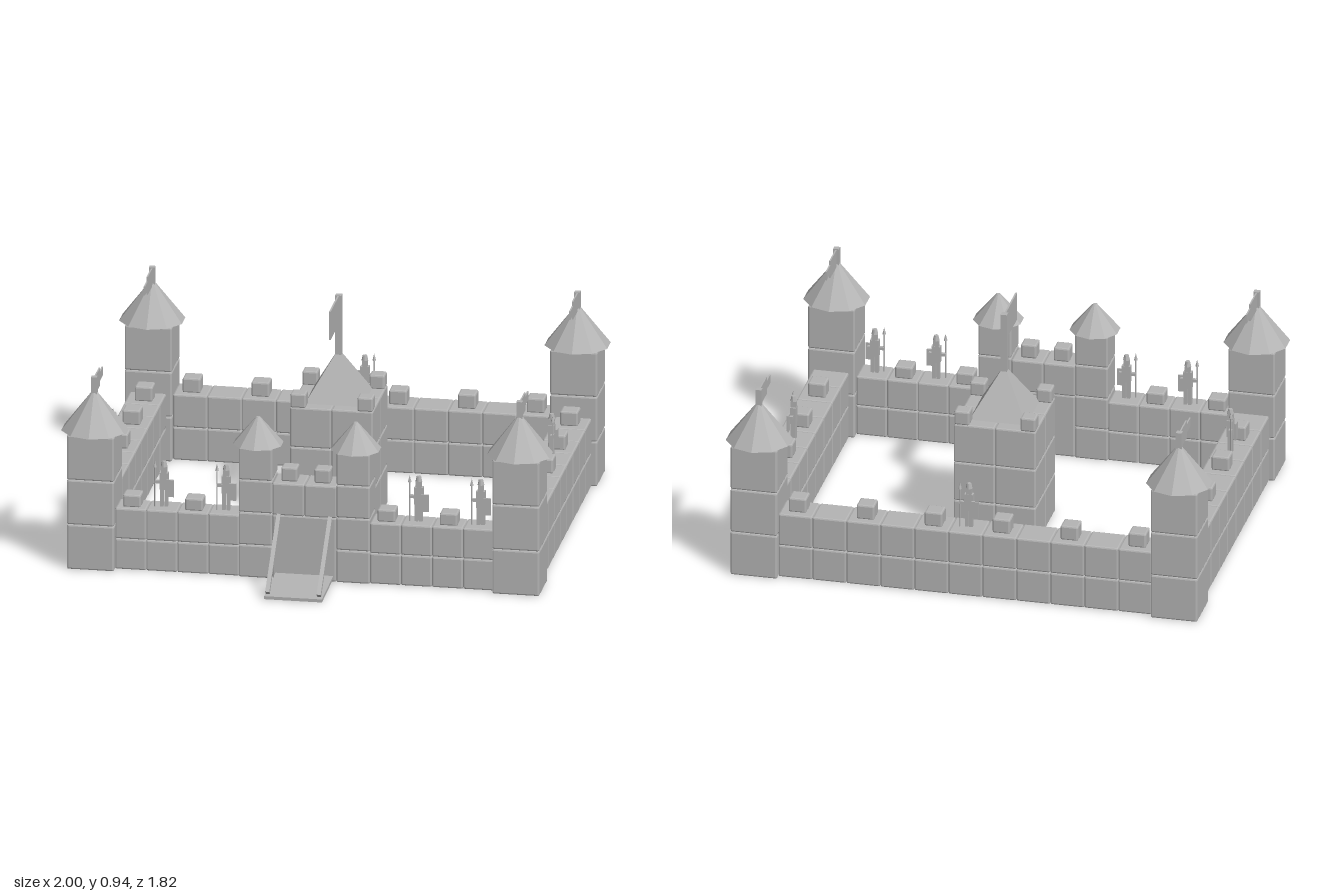
import * as THREE from 'three';
import { RoundedBoxGeometry } from 'three/addons/geometries/RoundedBoxGeometry.js';

const stone = new THREE.MeshStandardMaterial({ color: 0xb4b4b4 });
stone.name = 'grey stone';
stone.flatShading = true;
stone.side = THREE.DoubleSide;

function add(parent, name, geometry, x, y, z) {
  const mesh = new THREE.Mesh(geometry, stone);
  mesh.name = name;
  mesh.position.set(x, y, z);
  parent.add(mesh);
  return mesh;
}

function group(parent, name, x = 0, y = 0, z = 0) {
  const g = new THREE.Group();
  g.name = name;
  g.position.set(x, y, z);
  parent.add(g);
  return g;
}

const box = (w, h, d) => new THREE.BoxGeometry(w, h, d);

// Bevelled stone standing on height y
function block(parent, name, w, h, d, x, y, z) {
  return add(parent, name, new RoundedBoxGeometry(w, h, d, 1, 0.007), x, y + h / 2, z);
}

// Merlon narrowing very slightly to the top
const merlon = (parent, size, h, x, y, z) => block(parent, 'merlon', size, h, size, x, y, z);

// Guard facing +z, spear in the right hand and shield on the left arm
function guard(parent, x, y, z, turn) {
  const g = group(parent, 'guard', x, y, z);
  g.rotation.y = turn;
  for (const s of [-1, 1]) add(g, 'leg', box(0.014, 0.075, 0.018), s * 0.009, 0.0375, 0);
  add(g, 'torso', box(0.036, 0.072, 0.024), 0, 0.108, 0);
  add(g, 'head', box(0.022, 0.026, 0.022), 0, 0.157, 0);
  add(g, 'helmet', new THREE.CylinderGeometry(0.009, 0.014, 0.022, 8), 0, 0.18, 0);
  add(g, 'spearArm', box(0.024, 0.012, 0.014), -0.025, 0.105, 0.006);
  add(g, 'shieldArm', box(0.02, 0.012, 0.014), 0.022, 0.105, 0.004);
  add(g, 'shield', box(0.03, 0.072, 0.008), 0.028, 0.082, 0.016);
  add(g, 'spearShaft', new THREE.CylinderGeometry(0.003, 0.003, 0.17, 6), -0.036, 0.085, 0.01);
  add(g, 'spearTip', new THREE.ConeGeometry(0.008, 0.03, 6), -0.036, 0.182, 0.01);
}

// Two courses of stones; even or odd stones carry merlons. Runs along local x.
function wall(parent, name, x, z, turn, count, length, depth, course, merlonH, odd, guards) {
  const g = group(parent, name, x, 0, z);
  g.rotation.y = turn;
  const w = length / count;
  for (let i = 0; i < count; i++) {
    const px = (i + 0.5) * w - length / 2;
    for (let row = 0; row < 2; row++) block(g, 'wallStone', w, course, depth, px, row * course, 0);
    if (i % 2 === odd) merlon(g, 0.073, merlonH, px, course * 2 - 0.003, 0);
    if (guards.includes(i)) guard(g, px, course * 2, 0, 0);
  }
}

// Swallow-cut pennant reaching along z
function pennant(dir) {
  const s = new THREE.Shape([[0, 0], [0.12, 0], [0.12, 0.02], [0.185, 0.02], [0.185, 0.057], [0.12, 0.057], [0.12, 0.075], [0, 0.075]]
    .map(([a, b]) => new THREE.Vector2(a, b)));
  const geo = new THREE.ExtrudeGeometry(s, { depth: 0.006, bevelEnabled: false });
  geo.translate(0, 0, -0.003);
  geo.rotateY(dir > 0 ? -Math.PI / 2 : Math.PI / 2);
  return geo;
}

// Square stack of stones under a ten-sided roof
function tower(parent, name, x, z, size, rows, height, roofR, roofH) {
  const g = group(parent, name, x, 0, z);
  const h = height / rows;
  for (let i = 0; i < rows; i++) block(g, 'towerStone', size, h, size, 0, i * h, 0);
  add(g, 'roof', new THREE.CylinderGeometry(0.008, roofR, roofH, 10), 0, height + roofH / 2, 0);
  return g;
}

export function createModel() {
  const castle = new THREE.Group();
  castle.name = 'castle';

  // Corner towers with pennants pointing into the yard
  for (const x of [-0.87, 0.87]) {
    for (const z of [-0.775, 0.575]) {
      const t = tower(castle, 'cornerTower', x, z, 0.193, 3, 0.572, 0.135, 0.163);
      add(t, 'flagPole', box(0.024, 0.085, 0.024), 0, 0.753, 0);
      add(t, 'pennant', pennant(z > 0 ? -1 : 1), 0, 0.717, 0);
    }
  }

  // Curtain walls
  wall(castle, 'frontRightWall', -0.521, 0.575, 0, 4, 0.508, 0.122, 0.13, 0.053, 0, [1, 3]);
  wall(castle, 'frontLeftWall', 0.521, 0.575, 0, 4, 0.508, 0.122, 0.13, 0.053, 0, [1, 3]);
  wall(castle, 'leftWall', 0.87, -0.1, Math.PI / 2, 8, 1.157, 0.148, 0.146, 0.063, 1, [4]);
  wall(castle, 'rightWall', -0.87, -0.1, -Math.PI / 2, 8, 1.157, 0.148, 0.146, 0.063, 0, [5]);
  wall(castle, 'backWall', 0, -0.775, Math.PI, 11, 1.548, 0.14, 0.14, 0.063, 0, [5]);

  // Gatehouse
  const gate = group(castle, 'gatehouse', 0, 0, 0.575);
  for (const s of [-1, 1]) {
    tower(gate, 'gateTower', s * 0.2, 0, 0.137, 4, 0.553, 0.103, 0.112);
    block(gate, 'gateTopStone', 0.132, 0.137, 0.128, s * 0.066, 0.27, 0);
    merlon(gate, 0.065, 0.06, s * 0.068, 0.405, 0);
  }
  block(gate, 'gateDoor', 0.262, 0.272, 0.128, 0, 0, 0);

  // Drawbridge and its two slanted chains
  const bridge = group(castle, 'drawbridge');
  add(bridge, 'deck', box(0.236, 0.013, 0.265), 0, 0.014, 0.769).rotation.x = 0.035;
  for (const s of [-1, 1]) {
    const chain = add(bridge, 'chain', box(0.017, 0.017, 0.36), s * 0.105, 0.151, 0.766);
    chain.rotation.x = Math.atan2(0.24, 0.265);
  }

  // Central keep
  const keep = group(castle, 'keep', 0, 0, -0.162);
  for (const x of [-1, 1]) {
    for (const z of [-1, 1]) {
      for (let i = 0; i < 3; i++) block(keep, 'keepStone', 0.17, 0.17, 0.172, x * 0.085, i * 0.17, z * 0.086);
      merlon(keep, 0.063, 0.06, x * 0.137, 0.507, z * 0.139);
    }
  }
  const roof = add(keep, 'keepRoof', new THREE.CylinderGeometry(0.016, 0.168, 0.185, 4), 0, 0.6, 0);
  roof.rotation.y = Math.PI / 4;
  add(keep, 'keepFlagPole', box(0.026, 0.26, 0.026), 0, 0.812, 0);
  add(keep, 'keepFlag', box(0.007, 0.12, 0.205), 0, 0.88, 0.105);

  return castle;
}
